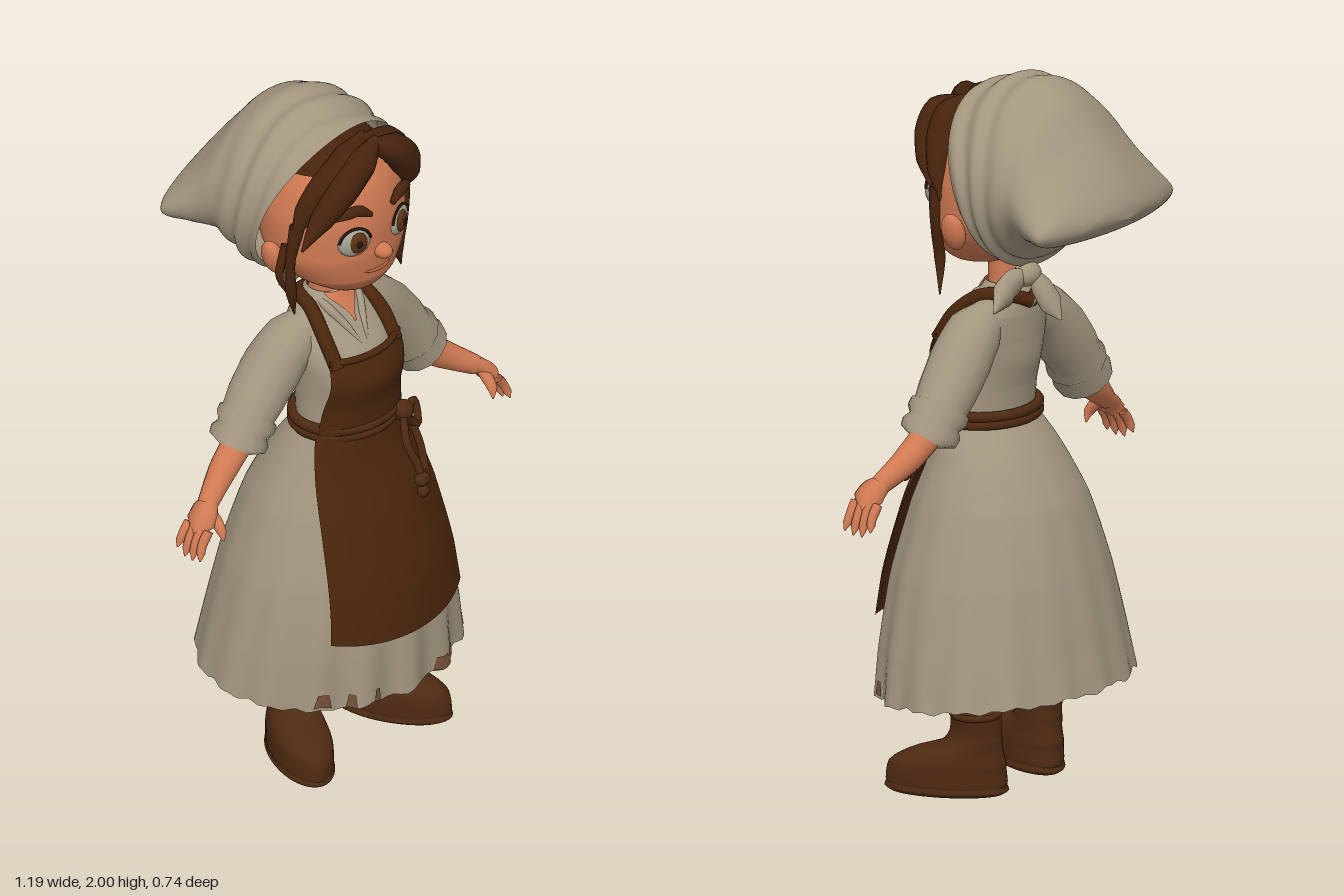
import * as THREE from 'three';
import { ParametricGeometry } from 'three/addons/geometries/ParametricGeometry.js';

const V = (p) => new THREE.Vector3(...p);
const lerp = THREE.MathUtils.lerp;

function material(name, color) {
  const m = new THREE.MeshStandardMaterial({ color, side: THREE.DoubleSide });
  m.name = name;
  return m;
}

// Smooth body from rows of [y, centreX, centreZ, radiusX, radiusZ], bottom to top
function profile(rows) {
  const centre = new THREE.CatmullRomCurve3(rows.map((r) => V([r[1], r[0], r[2]])));
  const radius = new THREE.CatmullRomCurve3(rows.map((r) => V([r[3], r[4], 0])));
  return (t, a, off = 0) => {
    const c = centre.getPoint(t), r = radius.getPoint(t);
    return [c.x + (r.x + off) * Math.sin(a), c.y, c.z + (r.y + off) * Math.cos(a)];
  };
}

const surface = (fn, nu = 40, nv = 30) =>
  new ParametricGeometry((u, v, target) => target.set(...fn(u, v)), nu, nv);

const loft = (rows, nu, nv) => {
  const p = profile(rows);
  return surface((u, v) => p(v, u * Math.PI * 2), nu, nv);
};

// Tube whose radius follows a list; squash scales the section along x, y, z
function taper(points, radii, squash = [1, 1, 1], segs = 20, sides = 14) {
  const curve = new THREE.CatmullRomCurve3(points.map(V));
  const g = new THREE.TubeGeometry(curve, segs, 1, sides);
  const pos = g.attributes.position, s = V(squash), q = new THREE.Vector3();
  for (let i = 0; i < pos.count; i++) {
    const t = Math.floor(i / (sides + 1)) / segs;
    const k = t * (radii.length - 1), j = Math.min(Math.floor(k), radii.length - 2);
    const c = curve.getPointAt(t);
    q.fromBufferAttribute(pos, i).sub(c).multiplyScalar(lerp(radii[j], radii[j + 1], k - j)).multiply(s).add(c);
    pos.setXYZ(i, q.x, q.y, q.z);
  }
  return g;
}

export function createModel() {
  const group = new THREE.Group();
  const linen = material('linen', 0xa3967f), skin = material('skin', 0xd07a53);
  const apronBrown = material('apronBrown', 0x4a260c), hairBrown = material('hairBrown', 0x46230d);
  const leather = material('leather', 0x4e2a12), eyeWhite = material('eyeWhite', 0xa5a494);
  const iris = material('iris', 0x5a3216), dark = material('dark', 0x24130a);
  const lip = material('lip', 0xb0623f), patch = material('patch', 0x77523a);

  const add = (name, geometry, mat, parent = group) => {
    const m = new THREE.Mesh(geometry, mat);
    m.name = name;
    parent.add(m);
    return m;
  };
  const ball = (name, p, s, mat) => {
    const m = add(name, new THREE.SphereGeometry(1, 24, 16), mat);
    m.position.set(...p);
    m.scale.set(...s);
    return m;
  };

  // Skirt with folds and a ragged hem, lower at the front
  const skirtBase = profile([
    [0.285, 0, 0.033, 0.395, 0.32], [0.4, 0, 0.04, 0.375, 0.31], [0.6, 0, 0.05, 0.33, 0.28],
    [0.8, 0, 0.055, 0.265, 0.225], [0.95, 0, 0.07, 0.195, 0.155], [1.04, 0, 0.095, 0.145, 0.11]]);
  const skirt = (t, a, off = 0) => {
    const fade = (1 - t) ** 2, front = 0.4 + 0.6 * Math.max(0, Math.cos(a));
    const p = skirtBase(t, a, off + 0.012 * fade * front * Math.cos(16 * a));
    p[1] += Math.max(0, 1 - t * 5) * (-0.026 * Math.cos(a) + 0.008 * Math.sin(23 * a) * Math.cos(9 * a));
    return p;
  };
  add('skirt', surface((u, v) => skirt(v, u * Math.PI * 2), 128, 40), linen);
  for (const [a, t, w] of [[-0.72, 0.015, 0.07], [-0.5, 0.005, 0.04], [0.33, 0.005, 0.08], [0.42, 0.025, 0.04], [0.9, 0.015, 0.04], [-0.3, 0.002, 0.03]])
    add('hemPatch', surface((u, v) => skirt(t + v * 0.06, a + (u - 0.5) * 2 * w * (1 - 0.4 * v), 0.004), 6, 4), patch);

  // Bodice
  const torso = profile([
    [1.02, 0, 0.095, 0.148, 0.11], [1.12, 0, 0.09, 0.145, 0.118], [1.2, 0, 0.088, 0.15, 0.135],
    [1.27, 0, 0.07, 0.16, 0.12], [1.33, 0, 0.045, 0.15, 0.097], [1.38, 0, 0.03, 0.105, 0.077],
    [1.42, 0, 0.03, 0.06, 0.055]]);
  add('bodice', surface((u, v) => torso(v, u * Math.PI * 2)), linen);
  add('neckOpening', surface((u, v) => torso(lerp(0.7, 1, v), (u - 0.5) * (0.06 + 1.8 * v * v), 0.006), 10, 10), skin);
  for (const s of [-1, 1])
    add('collar', taper([[s * 0.012, 1.29, 0.172], [s * 0.034, 1.34, 0.13], [s * 0.058, 1.385, 0.085], [s * 0.06, 1.41, 0.02]],
      [0.003, 0.011, 0.013, 0.008]), linen);
  add('neck', new THREE.CylinderGeometry(0.05, 0.055, 0.2, 24).translate(0, 1.44, 0.03), skin);

  // Apron: lower panel, bib, neck straps
  add('apronPanel', surface((u, v) => {
    const s = 2 * u - 1;
    return skirtBase(lerp(0.255 + 0.025 * s * s, 1, v), s * lerp(0.7, 1.2, v ** 1.6), 0.024);
  }, 40, 30), apronBrown);
  add('apronBib', surface((u, v) => torso(lerp(0.04, 0.5, v), (2 * u - 1) * lerp(1.15, 0.8, v), 0.024), 30, 16), apronBrown);
  add('bibHem', taper([-1, -0.5, 0, 0.5, 1].map((s) => torso(0.5, s * 0.8, 0.02)), [0.01, 0.01]), apronBrown);
  for (const s of [-1, 1])
    add('apronStrap', taper([[s * 0.11, 1.25, 0.18], [s * 0.108, 1.33, 0.125], [s * 0.09, 1.385, 0.055], [s * 0.07, 1.395, -0.01], [0, 1.37, -0.05]],
      [0.021, 0.021, 0.02, 0.02]), apronBrown);

  // Belt with knot and hanging cords
  const beltPath = new THREE.CatmullRomCurve3(Array.from({ length: 16 }, (_, i) => {
    const a = i * Math.PI / 8;
    return new THREE.Vector3(0.153 * Math.sin(a), 1.045, 0.095 + 0.127 * Math.cos(a));
  }), true);
  for (const y of [-0.011, 0.011])
    add('belt', new THREE.TubeGeometry(beltPath, 64, 0.015, 10, true).translate(0, y, 0), leather);
  ball('beltKnot', [0.1, 1.045, 0.22], [0.03, 0.03, 0.028], leather);
  add('cord', taper([[0.09, 1.04, 0.23], [0.07, 0.97, 0.265], [0.085, 0.9, 0.295], [0.085, 0.83, 0.31]], [0.011, 0.011]), leather);
  add('cord', taper([[0.11, 1.04, 0.22], [0.13, 0.95, 0.25], [0.13, 0.87, 0.275]], [0.011, 0.011]), leather);
  add('cordLoop', taper([[0.1, 1.05, 0.23], [0.14, 1.06, 0.22], [0.14, 0.99, 0.235], [0.1, 1.03, 0.24]], [0.011, 0.011]), leather);
  ball('tassel', [0.085, 0.87, 0.308], [0.024, 0.02, 0.02], leather);
  ball('tassel', [0.085, 0.835, 0.312], [0.018, 0.02, 0.016], leather);

  for (const s of [-1, 1]) {
    const mir = (pts) => pts.map(([x, y, z]) => [s * x, y, z]);
    // Sleeve with rolled cuff
    add('sleeve', taper(mir([[0.06, 1.34, 0.04], [0.16, 1.285, 0.033], [0.25, 1.19, 0.028], [0.33, 1.09, 0.03]]),
      [0.04, 0.078, 0.086, 0.082, 0.07]), linen);
    add('cuff', taper(mir([[0.29, 1.14, 0.03], [0.325, 1.09, 0.032], [0.36, 1.04, 0.035]]),
      [0.05, 0.085, 0.086, 0.072, 0.085, 0.082, 0.04], [1, 1, 1], 24), linen);
    // Forearm and hand
    add('forearm', taper(mir([[0.32, 1.08, 0.033], [0.42, 1.005, 0.05], [0.51, 0.945, 0.08]]), [0.045, 0.04, 0.028]), skin);
    add('palm', taper(mir([[0.49, 0.965, 0.075], [0.535, 0.925, 0.09], [0.565, 0.885, 0.093]]),
      [0.018, 0.034, 0.037, 0.01], [0.7, 0.7, 1.25]), skin);
    for (let i = 0; i < 4; i++) {
      const z = 0.054 + i * 0.025, len = [0.8, 1, 1, 0.9][i];
      add('finger', taper(mir([[0.55, 0.905, z], [0.575, 0.905 - 0.04 * len, z], [0.59, 0.905 - 0.085 * len, z - 0.005 + i * 0.004]]),
        [0.013, 0.014, 0.013, 0.012, 0.002], [1, 1, 1], 12, 8), skin);
    }
    add('thumb', taper(mir([[0.515, 0.94, 0.1], [0.515, 0.9, 0.14], [0.512, 0.865, 0.15]]), [0.016, 0.017, 0.014, 0.002]), skin);

    // Leg and boot, toe turned out
    add('leg', new THREE.CylinderGeometry(0.055, 0.042, 0.5, 20).translate(s * 0.13, 0.45, 0.03), skin);
    const boot = new THREE.Group();
    boot.name = 'boot';
    boot.position.set(s * 0.14, 0, 0.025);
    boot.rotation.y = s * 0.45;
    group.add(boot);
    add('bootBody', loft([[0, 0, 0.08, 0.005, 0.005], [0.002, 0, 0.085, 0.066, 0.15], [0.03, 0, 0.085, 0.08, 0.168],
      [0.08, 0, 0.082, 0.08, 0.162], [0.115, 0, 0.058, 0.072, 0.13], [0.145, 0, 0.015, 0.063, 0.082], [0.18, 0, 0.005, 0.06, 0.07],
      [0.23, 0, 0.005, 0.066, 0.069], [0.245, 0, 0.005, 0.055, 0.058], [0.235, 0, 0.005, 0.01, 0.01]]), leather, boot);
    add('bootCuff', new THREE.TorusGeometry(0.062, 0.011, 8, 28).rotateX(Math.PI / 2).translate(0, 0.225, 0.005), leather, boot);
    add('bootSole', loft([[0, 0, 0.085, 0.07, 0.155], [0.012, 0, 0.085, 0.083, 0.171], [0.025, 0, 0.085, 0.08, 0.166]], 40, 6), leather, boot);

    // Ear, eye, brow
    ball('ear', [s * 0.222, 1.6, 0.045], [0.026, 0.055, 0.036], skin).rotation.z = -s * 0.3;
    const eye = new THREE.Group();
    eye.name = 'eye';
    eye.position.set(s * 0.083, 1.663, 0.215);
    eye.rotation.y = s * 0.35;
    group.add(eye);
    add('eyeball', new THREE.SphereGeometry(1, 24, 16).scale(0.048, 0.044, 0.022), eyeWhite, eye);
    add('iris', new THREE.SphereGeometry(1, 20, 12).scale(0.029, 0.032, 0.012).translate(-s * 0.006, 0.002, 0.014), iris, eye);
    add('pupil', new THREE.SphereGeometry(1, 16, 10).scale(0.012, 0.014, 0.005).translate(-s * 0.006, 0.002, 0.0225), dark, eye);
    add('lashes', new THREE.TorusGeometry(0.047, 0.004, 8, 24, Math.PI * 0.9).rotateZ(0.16).scale(1, 0.95, 1).translate(0, 0, 0.009), dark, eye);
    add('brow', taper(mir([[0.04, 1.742, 0.238], [0.085, 1.768, 0.23], [0.14, 1.745, 0.2]]), [0.008, 0.016, 0.015, 0.003]), hairBrown);
  }
  add('legWrap', new THREE.TorusGeometry(0.046, 0.009, 8, 24).rotateX(Math.PI / 2 + 0.25).translate(-0.13, 0.36, 0.03), leather);

  // Head, nose, mouth
  add('head', loft([[1.46, 0, 0.12, 0.01, 0.01], [1.475, 0, 0.11, 0.085, 0.08], [1.52, 0, 0.08, 0.155, 0.145],
    [1.6, 0, 0.05, 0.203, 0.188], [1.7, 0, 0.04, 0.207, 0.198], [1.8, 0, 0.03, 0.185, 0.188],
    [1.89, -0.01, 0.01, 0.13, 0.14], [1.94, -0.02, 0, 0.01, 0.01]], 48, 40), skin);
  ball('nose', [0, 1.612, 0.242], [0.025, 0.022, 0.03], skin);
  add('mouth', taper([[-0.075, 1.562, 0.21], [-0.03, 1.552, 0.229], [0.02, 1.553, 0.231], [0.08, 1.57, 0.207]], [0.002, 0.0045, 0.0045, 0.002]), lip);

  // Hair swept from an off-centre parting, with a flick and loose strands at the sides
  add('hairCap', loft([[1.86, -0.02, 0.03, 0.16, 0.165], [1.9, -0.02, 0.03, 0.125, 0.145], [1.925, -0.02, 0.035, 0.075, 0.1], [1.935, -0.02, 0.04, 0.01, 0.01]]), hairBrown);
  const locks = [
    [[0.05, 1.91, 0.165], [-0.05, 1.885, 0.205], [-0.15, 1.81, 0.205], [-0.21, 1.74, 0.19], [-0.265, 1.705, 0.2]],
    [[0.04, 1.915, 0.13], [-0.09, 1.875, 0.165], [-0.18, 1.79, 0.145], [-0.22, 1.68, 0.115]],
    [[0.02, 1.905, 0.165], [0.09, 1.875, 0.2], [0.15, 1.79, 0.185], [0.185, 1.7, 0.15]],
    [[0.02, 1.915, 0.14], [0.1, 1.875, 0.155], [0.165, 1.78, 0.135], [0.195, 1.67, 0.11]]];
  for (const pts of locks) add('hairLock', taper(pts, [0.015, 0.045, 0.048, 0.035, 0.004], [1, 1, 0.85]), hairBrown);
  add('hairStrand', taper([[-0.205, 1.72, 0.12], [-0.222, 1.6, 0.11], [-0.215, 1.5, 0.11], [-0.185, 1.42, 0.09]], [0.022, 0.014, 0.016, 0.002]), hairBrown);
  add('hairStrand', taper([[-0.22, 1.66, 0.09], [-0.252, 1.58, 0.1], [-0.225, 1.51, 0.1]], [0.012, 0.012, 0.002]), hairBrown);
  add('hairStrand', taper([[0.185, 1.7, 0.13], [0.19, 1.6, 0.13], [0.17, 1.5, 0.13], [0.21, 1.41, 0.1]], [0.022, 0.014, 0.016, 0.002]), hairBrown);

  // Headscarf: hoops of [topY, topZ, bottomY, bottomZ, halfWidth, lowBulge] from brow to back
  const hoops = [[1.95, 0.125, 1.48, -0.03, 0.25, 0.02], [1.985, 0.04, 1.475, -0.055, 0.26, 0.08], [2.0, -0.04, 1.5, -0.09, 0.26, 0.15],
    [1.97, -0.15, 1.55, -0.15, 0.258, 0.25], [1.875, -0.24, 1.575, -0.21, 0.267, 0.45], [1.765, -0.325, 1.59, -0.265, 0.272, 0.5],
    [1.695, -0.362, 1.615, -0.325, 0.16, 0.3], [1.655, -0.367, 1.65, -0.363, 0.01, 0]];
  const [tops, lows, widths] = [[0, 1], [2, 3], [4, 5]].map(([i, j]) =>
    new THREE.CatmullRomCurve3(hoops.map((h) => V([h[i], h[j], 0]))));
  add('headscarf', surface((u, v) => {
    const a = u * Math.PI * 2, c = Math.cos(a), k = (1 + c) / 2;
    const t = tops.getPoint(v), b = lows.getPoint(v), w = widths.getPoint(v);
    const fold = 0.006 * (1 - THREE.MathUtils.smoothstep(v, 0.25, 0.5)) * Math.sin(v * 42 + Math.sin(3 * a));
    return [-0.024 + (w.x + fold) * Math.sin(a) * (1 - w.y * c), lerp(b.x, t.x, k) + fold * c, lerp(b.y, t.y, k)];
  }, 64, 60), linen);
  ball('scarfKnot', [0.03, 1.455, -0.06], [0.045, 0.035, 0.035], linen);
  add('scarfTail', taper([[0.03, 1.455, -0.06], [0.12, 1.44, -0.065], [0.2, 1.385, -0.075]], [0.015, 0.04, 0.045, 0.003], [1, 1, 0.5]), linen);
  add('scarfTail', taper([[0.01, 1.46, -0.06], [0.01, 1.41, -0.1], [-0.01, 1.33, -0.145]], [0.015, 0.035, 0.038, 0.003], [1, 1, 0.6]), linen);

  return group;
}
